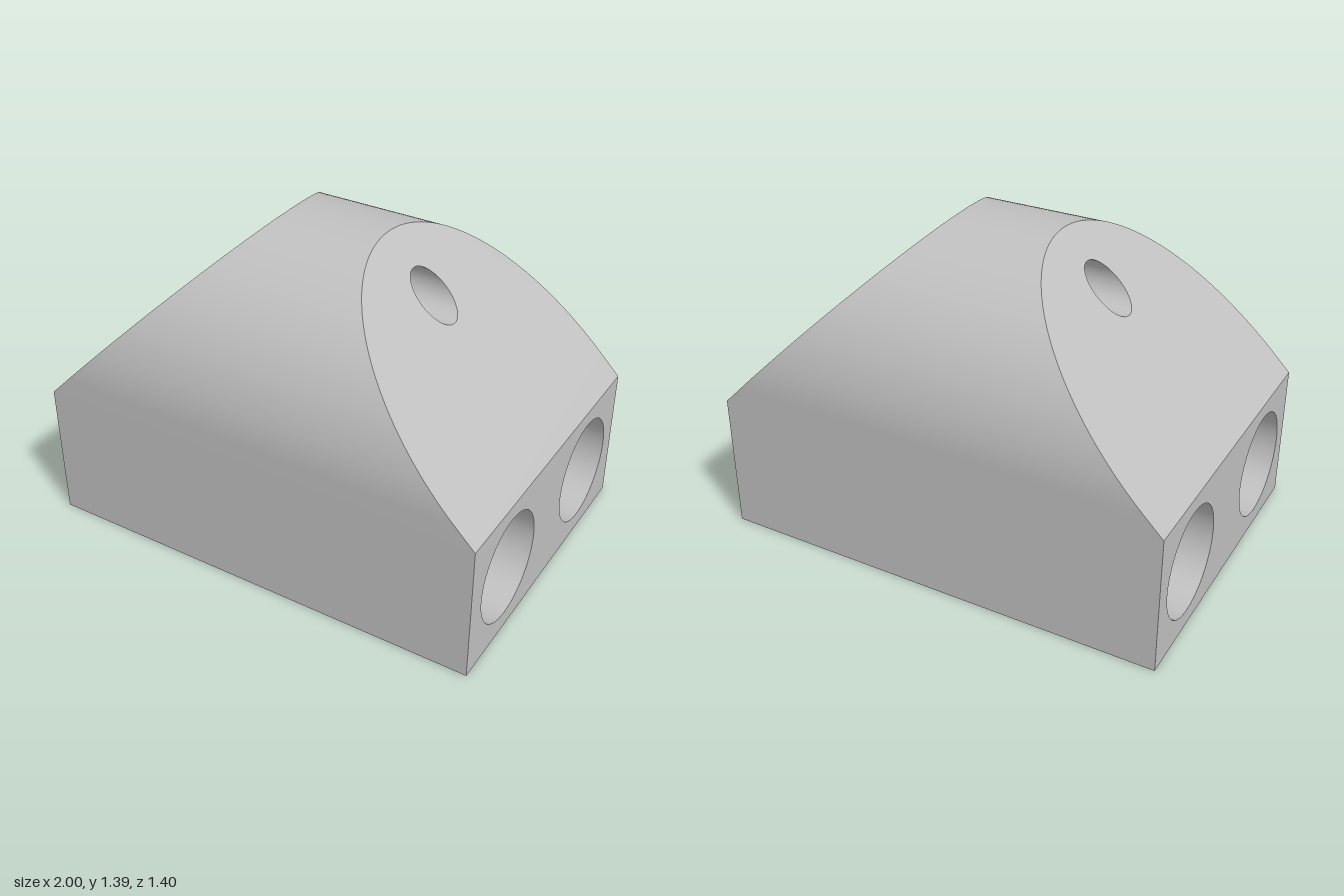
import * as THREE from 'three';

const HALF = 0.694, RADIUS = 0.694, SPRING = 0.696, SLOPE_Y = 0.61;

// Distance of the end faces from the middle: upright below, 45 degrees above
const endX = (y) => Math.min(1, 1 + SLOPE_Y - y);

// Arched outline of one end as (u, y) with u = -z, slightly narrower towards +x
function archOutline(side) {
  const pts = [[HALF, 0], [HALF, SLOPE_Y]];
  const n = 80;
  for (let i = 0; i <= n; i++) {
    const a = (i / n) * Math.PI;
    pts.push([HALF * Math.cos(a), SPRING + RADIUS * Math.sin(a)]);
  }
  pts.push([-HALF, SLOPE_Y], [-HALF, 0]);
  return pts.map(([u, y]) => new THREE.Vector2(u * (1 - 0.007 * side * endX(y)), y));
}

// Clockwise circle, so its wall faces into the hole
function circle(u, y, r, n = 64) {
  return Array.from({ length: n }, (_, i) => {
    const a = (-i / n) * Math.PI * 2;
    return new THREE.Vector2(u + r * Math.cos(a), y + r * Math.sin(a));
  });
}

// The bores run slightly askew from end to end
const largeBore = (side, m) => circle(m * (0.377 - 0.011 * side), 0.307, 0.235);
const smallBore = (side) => circle(0, 1.176 - 0.004 * side, 0.096);

// Wall between matching point lists at the +x and -x ends
function wall(right, left, closed = false) {
  const n = right.length, pos = [], index = [];
  for (let i = 0; i < n; i++) {
    const p = right[i], q = left[i];
    pos.push(endX(p.y), p.y, -p.x, -endX(q.y), q.y, -q.x);
  }
  for (let i = 0; i < (closed ? n : n - 1); i++) {
    const a = 2 * i, b = 2 * ((i + 1) % n);
    index.push(a, a + 1, b, b, a + 1, b + 1);
  }
  const geo = new THREE.BufferGeometry();
  geo.setAttribute('position', new THREE.Float32BufferAttribute(pos, 3));
  geo.setIndex(index);
  geo.computeVertexNormals();
  return geo;
}

// Flat end face with holes, laid onto the end plane
function endFace(side, outline, holes) {
  const shape = new THREE.Shape(outline);
  shape.holes = holes.map((h) => new THREE.Path(h));
  const geo = new THREE.ShapeGeometry(shape);
  const p = geo.attributes.position;
  for (let i = 0; i < p.count; i++) {
    const u = p.getX(i), y = p.getY(i);
    p.setXYZ(i, side * endX(y), y, -u);
  }
  if (side < 0) geo.setIndex(Array.from(geo.index.array).reverse());
  geo.computeVertexNormals();
  return geo;
}

export function createModel() {
  const model = new THREE.Group();
  model.name = 'archedBlock';
  const grey = new THREE.MeshStandardMaterial({ color: 0xc0c0c0 });
  grey.name = 'light grey';
  const add = (name, geo) => {
    const mesh = new THREE.Mesh(geo, grey);
    mesh.name = name;
    model.add(mesh);
  };

  // Arched shell and flat base
  const right = archOutline(1), left = archOutline(-1);
  add('archedShell', wall(right, left));
  add('base', wall([right.at(-1), right[0]], [left.at(-1), left[0]]));

  // Upright and sloping faces at both ends
  for (const [side, outline, label] of [[1, right, 'left'], [-1, left, 'right']]) {
    const lower = [outline[0], outline[1], outline.at(-2), outline.at(-1)];
    add(label + 'UprightFace', endFace(side, lower, [largeBore(side, 1), largeBore(side, -1)]));
    add(label + 'SlopingFace', endFace(side, outline.slice(1, -1), [smallBore(side)]));
  }

  // Through bores
  add('frontBore', wall(largeBore(1, -1), largeBore(-1, -1), true));
  add('backBore', wall(largeBore(1, 1), largeBore(-1, 1), true));
  add('topBore', wall(smallBore(1), smallBore(-1), true));
  return model;
}
